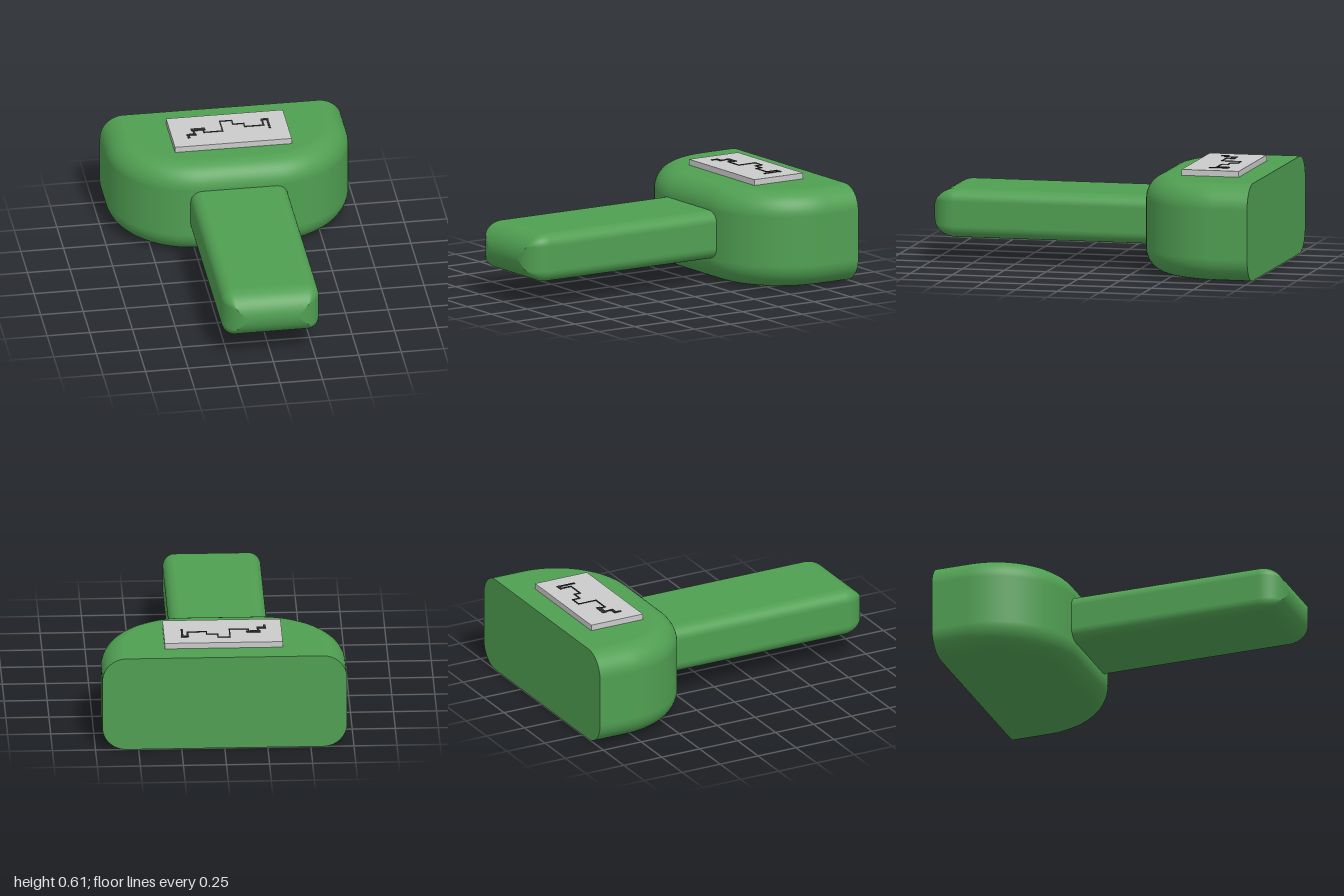
import * as THREE from 'three';

const HALF = Math.PI / 2;
const green = new THREE.MeshStandardMaterial({ color: 0x509f52 });
const grey = new THREE.MeshStandardMaterial({ color: 0xcccccc });
const dark = new THREE.MeshStandardMaterial({ color: 0x2b2d30 });

// Quarter arc of an outline: list of { x, y, nx, ny }
function arc(cx, cy, r, start, steps = 12) {
  return Array.from({ length: steps + 1 }, (_, i) => {
    const t = start + (HALF * i) / steps;
    const nx = Math.cos(t), ny = Math.sin(t);
    return { x: cx + r * nx, y: cy + r * ny, nx, ny };
  });
}

// Closed rounded rectangle, shrunk by inset (corners turn to mitres)
function roundedRect(halfW, halfH, radius, inset = 0) {
  const r = Math.max(radius - inset, 0);
  const w = halfW - inset - r, h = halfH - inset - r;
  const pts = [...arc(w, h, r, 0), ...arc(-w, h, r, HALF),
    ...arc(-w, -h, r, 2 * HALF), ...arc(w, -h, r, 3 * HALF)];
  return [...pts, pts[0]];
}

// Skin an inset outline along z; each row is { inset, z, tilt }.
// A row with a centre collapses to that point and makes a flat cap.
function loft(outline, rows) {
  const pos = [], nor = [], index = [];
  const cols = outline(0).length;
  for (const { inset, z, tilt, centre } of rows) {
    for (const p of outline(inset)) {
      pos.push(centre ? centre[0] : p.x, centre ? centre[1] : p.y, z);
      nor.push(p.nx * Math.cos(tilt), p.ny * Math.cos(tilt), Math.sin(tilt));
    }
  }
  for (let i = 0; i < rows.length - 1; i++) {
    for (let j = 0; j < cols - 1; j++) {
      const a = i * cols + j, b = a + cols;
      index.push(a, a + 1, b, a + 1, b + 1, b);
    }
  }
  const g = new THREE.BufferGeometry();
  g.setAttribute('position', new THREE.Float32BufferAttribute(pos, 3));
  g.setAttribute('normal', new THREE.Float32BufferAttribute(nor, 3));
  g.setIndex(index);
  return g;
}

// Rows of a quarter-round edge, tilt running from t0 to t0 + 90 degrees
function fillet(r, z, t0, steps = 12) {
  return Array.from({ length: steps + 1 }, (_, i) => {
    const tilt = t0 + (HALF * i) / steps;
    return { inset: r * (1 - Math.cos(tilt)), z: z + r * Math.sin(tilt), tilt };
  });
}

export function createModel() {
  const model = new THREE.Group();
  const add = (name, geometry, material, parent = model) => {
    const mesh = new THREE.Mesh(geometry, material);
    mesh.name = name;
    parent.add(mesh);
    return mesh;
  };

  // Head: D-shaped plan, filleted top and bottom, cut flat at the back
  const W = 0.71, H = 0.57, R = 0.14, bend = 0.5;
  const plan = (d) => [
    { x: -W + d, y: 1, nx: -1, ny: 0 },
    ...arc(-W + bend, 0.79, bend - d, 2 * HALF, 24),
    ...arc(W - bend, 0.79, bend - d, 3 * HALF, 24),
    { x: W - d, y: 1, nx: 1, ny: 0 },
  ];
  const head = new THREE.Group();
  head.name = 'head';
  model.add(head);
  const shell = loft(plan, [
    { inset: R, z: 0, tilt: -HALF, centre: [0, 1] },
    ...fillet(R, R, -HALF),
    ...fillet(R, H - R, 0),
    { inset: R, z: H, tilt: HALF, centre: [0, 1] },
  ]);
  add('headShell', shell.rotateX(-HALF), green, head);

  const backShape = new THREE.Shape(
    roundedRect(W, H / 2, R).map((p) => new THREE.Vector2(p.x, p.y)));
  const back = new THREE.ShapeGeometry(backShape).rotateY(Math.PI);
  add('headBack', back.translate(0, H / 2, -1), green, head);

  // Handle: rounded bar with a fully rounded tip
  const tip = 0.142;
  const handle = loft((d) => roundedRect(0.285, tip, 0.07, d), [
    { inset: 0, z: -0.32, tilt: 0 },
    ...fillet(tip, 1 - tip, 0, 16),
  ]);
  add('handle', handle, green).position.y = 0.287;

  // Display plate on top of the head
  const plate = add('displayPlate', new THREE.BoxGeometry(0.685, 0.045, 0.34), grey);
  plate.position.set(0, 0.582, -0.69);

  // Raised stepped trace: corner points [x, z] and width of the stroke that follows
  const steps = [
    [-0.245, -0.62, 0.014], [-0.245, -0.65, 0.018], [-0.207, -0.65, 0.012],
    [-0.207, -0.705, 0.026], [-0.15, -0.705, 0.007], [-0.15, -0.666, 0.007],
    [-0.04, -0.666, 0.007], [-0.04, -0.78, 0.007], [0.03, -0.78, 0.007],
    [0.03, -0.735, 0.007], [0.094, -0.735, 0.007], [0.094, -0.698, 0.007],
    [0.205, -0.698, 0.01], [0.205, -0.765, 0.016], [0.236, -0.765, 0.012],
    [0.236, -0.665, 0],
  ];
  const trace = new THREE.Group();
  trace.name = 'displayTrace';
  model.add(trace);
  for (let i = 0; i < steps.length - 1; i++) {
    const [x0, z0, w] = steps[i], [x1, z1] = steps[i + 1];
    const stroke = add('traceStroke', new THREE.BoxGeometry(
      Math.abs(x1 - x0) + w, 0.006, Math.abs(z1 - z0) + w), dark, trace);
    stroke.position.set((x0 + x1) / 2, 0.605, (z0 + z1) / 2);
  }
  return model;
}
